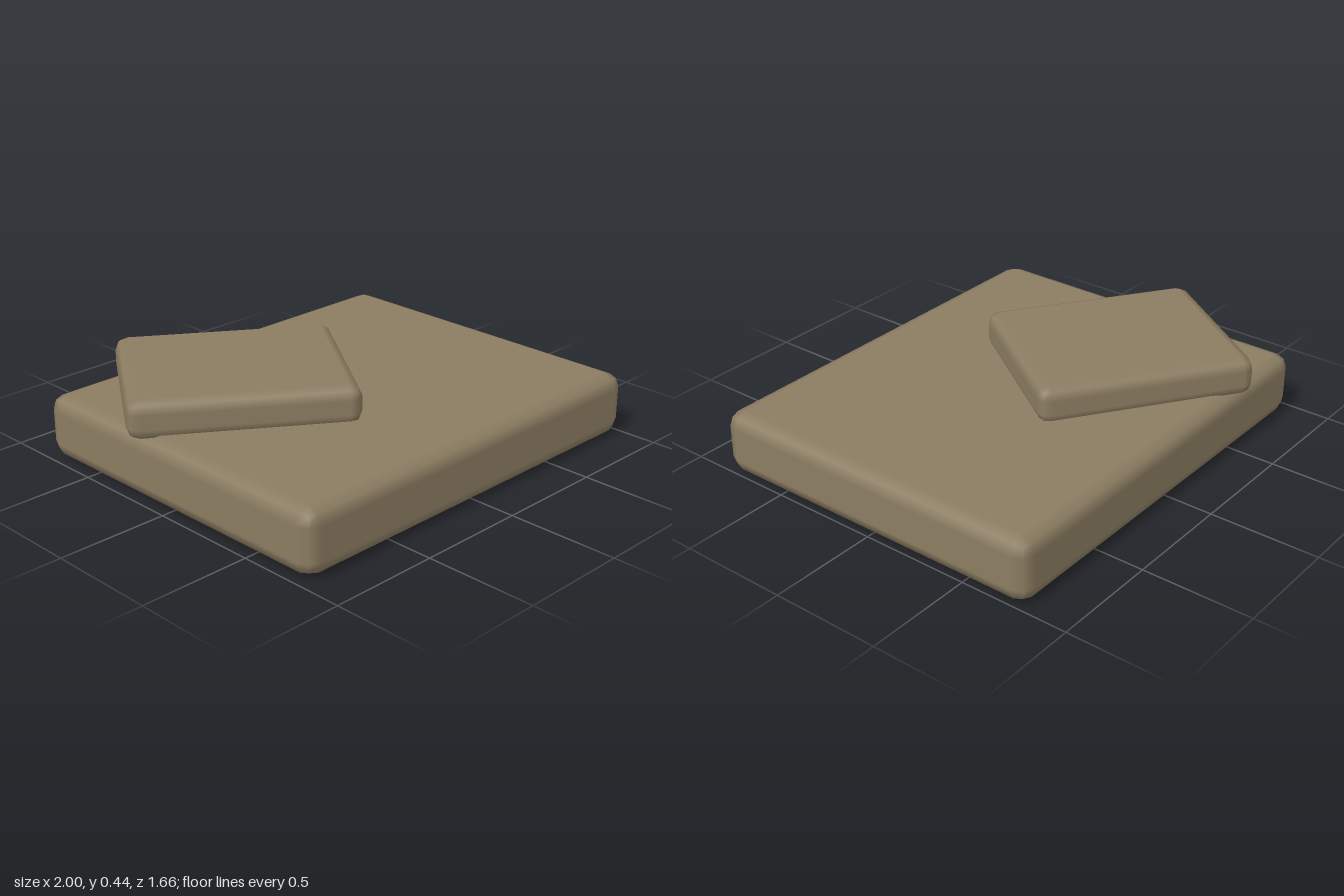
import * as THREE from 'three';
import { RoundedBoxGeometry } from 'three/addons/geometries/RoundedBoxGeometry.js';

export function createModel() {
  const model = new THREE.Group();
  model.name = 'stackedSlabs';

  const stone = new THREE.MeshStandardMaterial({ color: 0x8c7d62 });
  stone.name = 'sandstone';

  // A slab with softly bevelled edges, placed by its centre
  function addSlab(name, size, radius, position, turn = 0) {
    const slab = new THREE.Mesh(new RoundedBoxGeometry(...size, 1, radius), stone);
    slab.name = name;
    slab.position.set(...position);
    slab.rotation.y = THREE.MathUtils.degToRad(turn);
    model.add(slab);
  }

  // Broad slab on the ground
  addSlab('baseSlab', [1.975, 0.29, 1.63], 0.07, [0.0125, 0.145, 0.01]);

  // Small slab turned on top, slightly sunk in and overhanging the back left corner
  addSlab('topSlab', [0.98, 0.175, 0.825], 0.055, [-0.3875, 0.3525, -0.2375], -34.5);

  return model;
}
